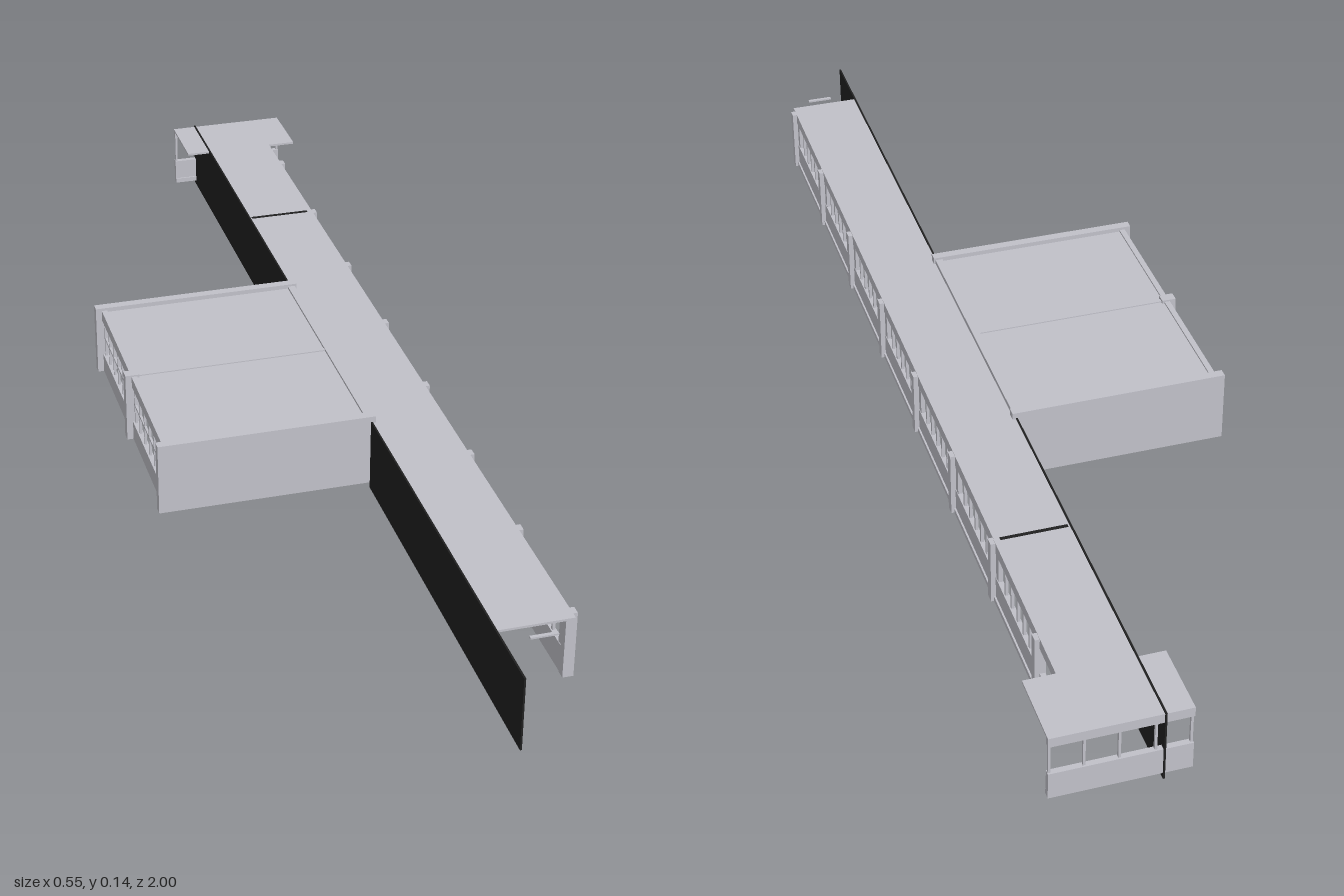
import * as THREE from 'three';

export function createModel() {
  const model = new THREE.Group();
  const grey = new THREE.MeshStandardMaterial({ color: 0xc2c2ca });
  grey.name = 'concrete grey';
  const black = new THREE.MeshStandardMaterial({ color: 0x202020 });
  black.name = 'black';

  // box from its min and max on each axis
  function block(name, x0, x1, y0, y1, z0, z1, mat = grey, parent = model) {
    const mesh = new THREE.Mesh(new THREE.BoxGeometry(x1 - x0, y1 - y0, z1 - z0), mat);
    mesh.position.set((x0 + x1) / 2, (y0 + y1) / 2, (z0 + z1) / 2);
    mesh.name = name;
    parent.add(mesh);
    return mesh;
  }

  // ---- corridor ----
  const corridor = new THREE.Group();
  corridor.name = 'corridor';
  model.add(corridor);
  block('corridorRoof', 0.097, 0.222, 0.124, 0.128, -0.87, 0.875, grey, corridor);
  block('roofJoint', 0.1, 0.212, 0.128, 0.129, -0.552, -0.546, black, corridor);
  block('corridorSill', 0.213, 0.222, 0.01, 0.058, -0.87, 0.863, grey, corridor);
  block('corridorBase', 0.222, 0.225, 0.01, 0.019, -0.87, 0.863, grey, corridor);
  block('corridorHeader', 0.213, 0.222, 0.108, 0.125, -0.87, 0.863, grey, corridor);

  // outer columns with glazing bars between them
  const pitch = 0.234, panes = 6;
  for (let i = 0; i < 8; i++) {
    const z = 0.855 - i * pitch;
    block('corridorColumn', 0.212, 0.23, 0.01, 0.127, z - 0.008, z + 0.008, grey, corridor);
    if (i === 7) break;
    for (const e of [z - 0.014, z - pitch + 0.014]) {
      block('windowJamb', 0.214, 0.221, 0.058, 0.108, e - 0.007, e + 0.007, grey, corridor);
    }
    for (let j = 1; j < panes; j++) {
      const m = z - 0.02 - (pitch - 0.04) * j / panes;
      block('windowBar', 0.215, 0.22, 0.058, 0.108, m - 0.0025, m + 0.0025, grey, corridor);
    }
  }

  // ceiling lamps
  for (let i = 0; i < 15; i++) {
    const z = 0.9 - i * 0.117;
    block('corridorLamp', 0.14, 0.185, 0.1225, 0.1255, z - 0.003, z + 0.003, grey, corridor);
  }

  // black party walls on both sides of the hall
  block('backPartyWall', 0.094, 0.097, 0, 0.13, -1, -0.255, black);
  block('frontPartyWall', 0.094, 0.097, 0, 0.13, 0.255, 1, black);

  // ---- widened end bay ----
  const bay = new THREE.Group();
  bay.name = 'endBay';
  model.add(bay);
  block('bayRoof', 0.05, 0.274, 0.124, 0.128, -0.998, -0.87, grey, bay);
  block('baySill', 0.05, 0.274, 0.01, 0.058, -0.998, -0.988, grey, bay);
  block('bayBase', 0.05, 0.274, 0.01, 0.019, -0.988, -0.985, grey, bay);
  block('bayHeader', 0.05, 0.274, 0.111, 0.125, -0.998, -0.988, grey, bay);
  for (const x of [0.053, 0.108, 0.164, 0.218, 0.271]) {
    block('bayWindowBar', x - 0.002, x + 0.002, 0.058, 0.111, -0.995, -0.99, grey, bay);
  }

  // ---- hall ----
  const hall = new THREE.Group();
  hall.name = 'hall';
  model.add(hall);
  block('hallRoof', -0.262, 0.095, 0.127, 0.132, -0.24, 0.24, grey, hall);
  block('roofRidge', -0.265, 0.095, 0.132, 0.134, -0.004, 0.004, grey, hall);
  for (const s of [-1, 1]) {
    const a = s * 0.24, b = s * 0.256;
    block('hallSideWall', -0.275, 0.103, 0.01, 0.14, Math.min(a, b), Math.max(a, b), grey, hall);
  }
  block('hallSill', -0.264, -0.254, 0.01, 0.045, -0.24, 0.24, grey, hall);
  block('hallHeader', -0.264, -0.254, 0.115, 0.135, -0.24, 0.24, grey, hall);
  block('hallColumn', -0.275, -0.25, 0.01, 0.138, -0.009, 0.009, grey, hall);
  block('hallColumnFoot', -0.256, -0.245, 0.006, 0.01, -0.009, 0.009, grey, hall);
  block('corridorBeam', 0.087, 0.1, 0.115, 0.136, -0.24, 0.24, grey, hall);

  // hall window grid, two bays
  block('windowTransom', -0.261, -0.257, 0.078, 0.082, -0.24, 0.24, grey, hall);
  for (const s of [-1, 1]) {
    for (let j = 0; j <= 6; j++) {
      const z = s * (0.014 + j * 0.037);
      block('hallWindowBar', -0.261, -0.257, 0.045, 0.115, z - 0.002, z + 0.002, grey, hall);
    }
  }

  // partition panels with glazed openings, beside the open middle
  function partition(z0, z1, openings) {
    const shape = new THREE.Shape();
    shape.moveTo(z0, 0.01);
    shape.lineTo(z1, 0.01);
    shape.lineTo(z1, 0.116);
    shape.lineTo(z0, 0.116);
    for (const c of openings) {
      const hole = new THREE.Path();
      hole.moveTo(c - 0.012, 0.065);
      hole.lineTo(c - 0.012, 0.095);
      hole.lineTo(c + 0.012, 0.095);
      hole.lineTo(c + 0.012, 0.065);
      shape.holes.push(hole);
    }
    const geo = new THREE.ExtrudeGeometry(shape, { depth: 0.006, bevelEnabled: false });
    geo.rotateY(-Math.PI / 2);
    const mesh = new THREE.Mesh(geo, grey);
    mesh.position.x = 0.098;
    mesh.name = 'partition';
    hall.add(mesh);
  }
  partition(0.13, 0.24, [0.165, 0.21]);
  partition(-0.24, -0.18, [-0.21]);

  // hall ceiling lamps
  for (const x of [-0.19, -0.08, 0.02]) {
    for (const z of [-0.11, 0.07, 0.17]) {
      block('hallLamp', x - 0.003, x + 0.003, 0.124, 0.127, z - 0.035, z + 0.035, grey, hall);
    }
  }
  for (const x of [-0.13, -0.04]) {
    block('boardLamp', x - 0.035, x + 0.035, 0.124, 0.127, -0.225, -0.219, grey, hall);
  }
  return model;
}
